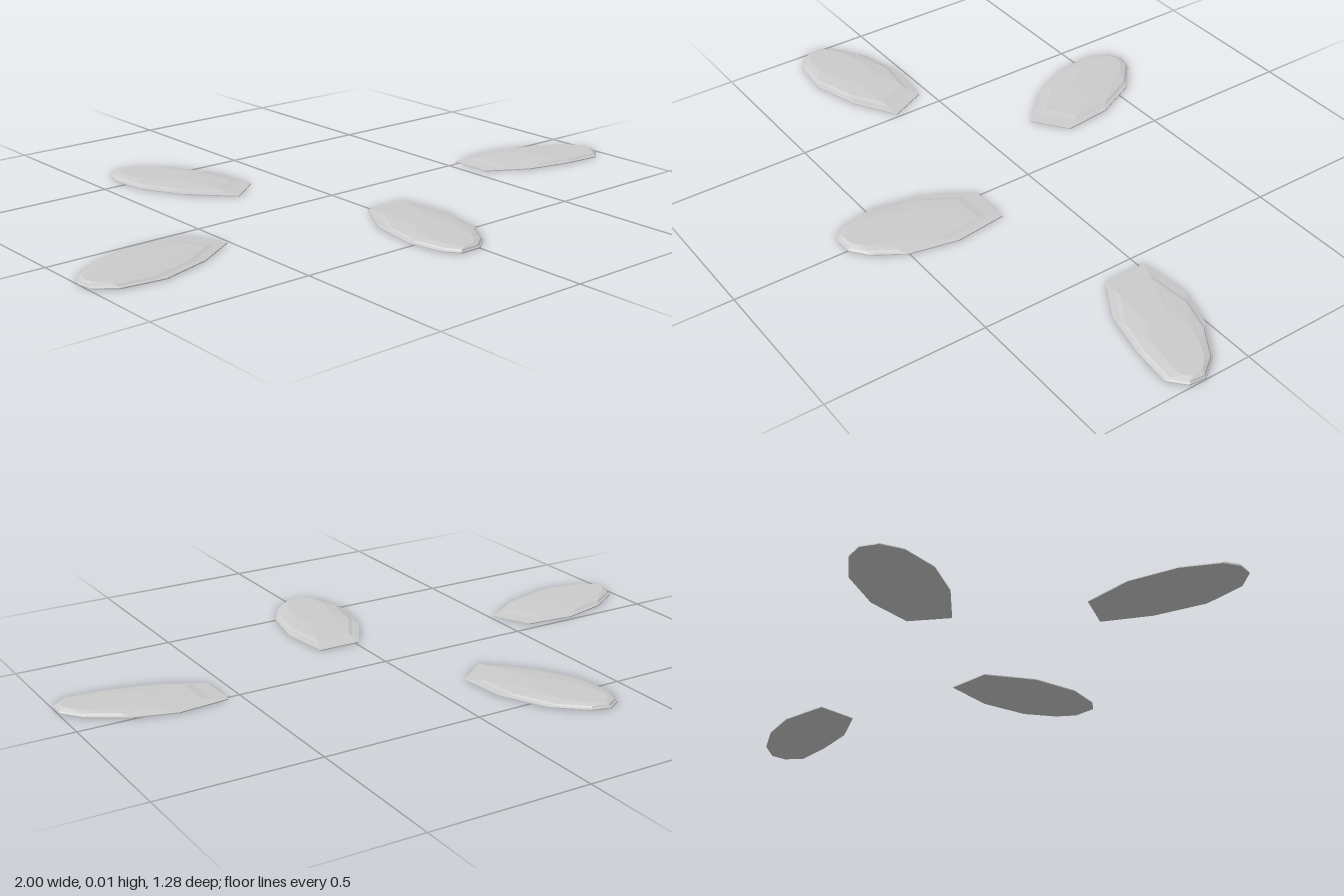
import * as THREE from 'three';

const SUB = 3; // samples per outline edge

// Each petal: outline corners (x, z) starting at the narrow inner end,
// and the point near the outer tip that the upper layers shrink towards.
const PETALS = [
  { name: 'frontPetal', tip: [-0.03, 0.604], outline: [
    [-0.013, 0.182], [0.126, 0.182], [0.147, 0.348], [0.115, 0.503], [0.056, 0.594],
    [0.003, 0.636], [-0.072, 0.636], [-0.104, 0.594], [-0.126, 0.481], [-0.099, 0.326]] },
  { name: 'leftPetal', tip: [0.965, 0.16], outline: [
    [0.543, -0.016], [0.703, -0.032], [0.832, 0.005], [0.944, 0.075], [0.997, 0.144],
    [0.992, 0.198], [0.944, 0.241], [0.816, 0.23], [0.671, 0.198], [0.543, 0.123]] },
  { name: 'rightPetal', tip: [-0.97, 0.187], outline: [
    [-0.57, 0.032], [-0.511, 0.155], [-0.644, 0.235], [-0.8, 0.283], [-0.933, 0.267],
    [-0.992, 0.219], [-1, 0.166], [-0.976, 0.118], [-0.874, 0.053], [-0.73, 0.016]] },
  { name: 'backPetal', tip: [-0.345, -0.594], outline: [
    [-0.12, -0.251], [-0.227, -0.171], [-0.345, -0.294], [-0.414, -0.422], [-0.43, -0.551],
    [-0.404, -0.62], [-0.356, -0.647], [-0.297, -0.631], [-0.206, -0.551], [-0.136, -0.406]] },
];

// Layers from the ground up: height, scale towards the tip, rounded or angular
const LAYERS = [
  { y: 0, s: 1 },
  { y: 0.003, s: 1 },
  { y: 0.006, s: 0.89 },
  { y: 0.01, s: 0.83 },
  { y: 0.015, s: 0.5, round: true },
];

function petalGeometry({ outline, tip }) {
  const corners = outline.map(([x, z]) => new THREE.Vector3(x, 0, z));
  const centre = new THREE.Vector3(tip[0], 0, tip[1]);
  const curve = new THREE.CatmullRomCurve3(corners, true);
  const n = corners.length * SUB;
  const positions = [];
  const index = [];

  // Stacked cross-sections
  for (const { y, s, round } of LAYERS) {
    for (let i = 0; i < n; i++) {
      const k = Math.floor(i / SUB);
      const p = round
        ? curve.getPoint(i / n)
        : corners[k].clone().lerp(corners[(k + 1) % corners.length], (i % SUB) / SUB);
      p.sub(centre).multiplyScalar(s).add(centre);
      positions.push(p.x, y, p.z);
    }
  }

  // Sloping sides between neighbouring sections
  for (let r = 0; r < LAYERS.length - 1; r++) {
    for (let i = 0; i < n; i++) {
      const a = r * n + i;
      const b = r * n + (i + 1) % n;
      index.push(b, a, a + n, b, a + n, b + n);
    }
  }

  // Flat underside and flat raised top
  const mid = new THREE.Vector3();
  corners.forEach((c) => mid.addScaledVector(c, 1 / corners.length));
  const top = mid.clone().sub(centre).multiplyScalar(0.5).add(centre);
  const bottomId = LAYERS.length * n;
  const topRow = bottomId - n;
  positions.push(mid.x, 0, mid.z, top.x, LAYERS[LAYERS.length - 1].y, top.z);
  for (let i = 0; i < n; i++) {
    const j = (i + 1) % n;
    index.push(bottomId, i, j, bottomId + 1, topRow + j, topRow + i);
  }

  const geometry = new THREE.BufferGeometry();
  geometry.setAttribute('position', new THREE.Float32BufferAttribute(positions, 3));
  geometry.setIndex(index);
  const flat = geometry.toNonIndexed();
  flat.computeVertexNormals();
  return flat;
}

export function createModel() {
  const group = new THREE.Group();
  group.name = 'scatteredPetals';
  const material = new THREE.MeshStandardMaterial({ color: 0xcccccc, flatShading: true });
  for (const petal of PETALS) {
    const mesh = new THREE.Mesh(petalGeometry(petal), material);
    mesh.name = petal.name;
    group.add(mesh);
  }
  return group;
}
